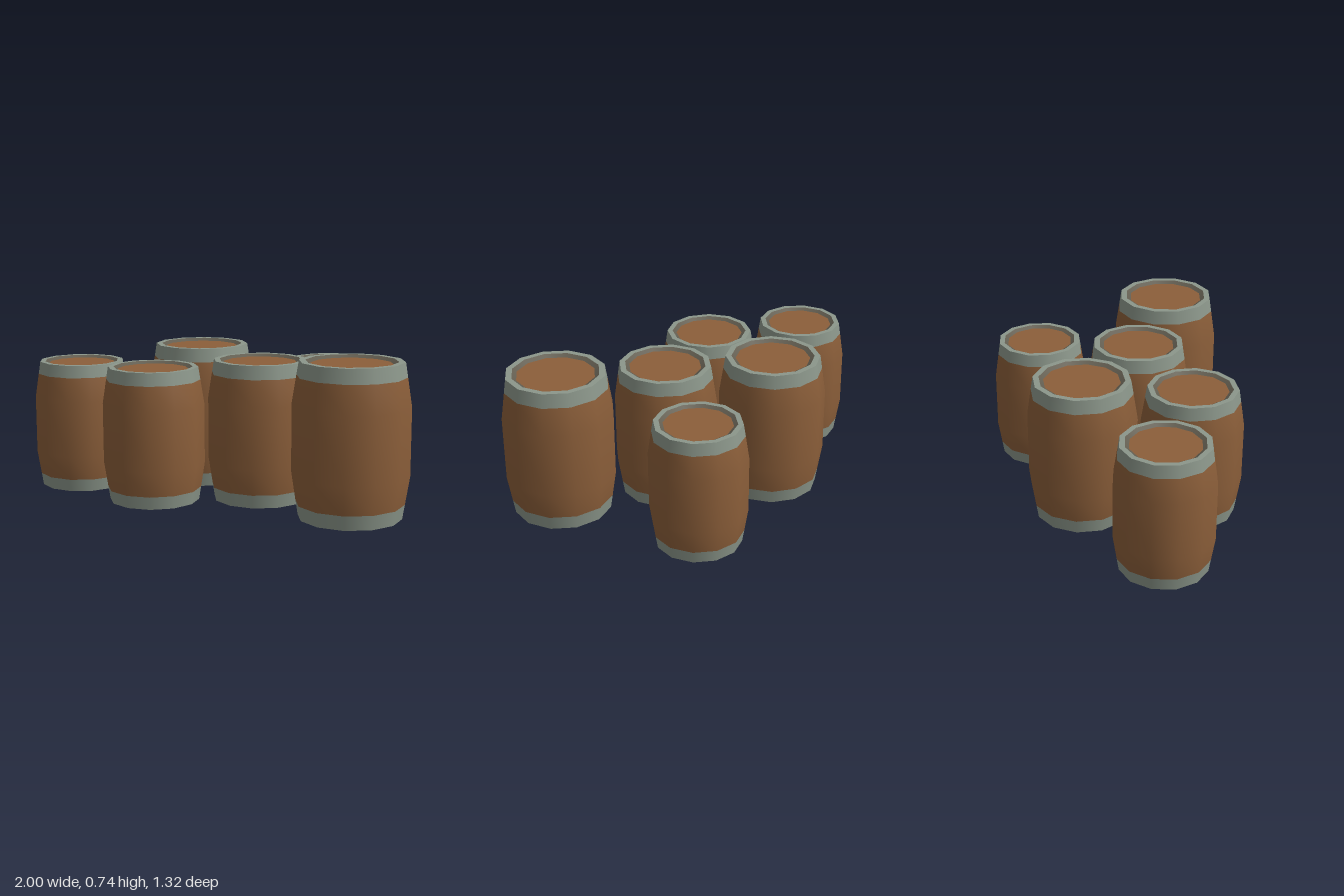
import * as THREE from 'three';

const SIDES = 12;
const material = (name, color) => {
  const m = new THREE.MeshStandardMaterial({ color });
  m.name = name;
  return m;
};

// Profiles of a barrel one unit tall, as [radius, height]
const BULGE = 0.377, END = 0.333, BAND = 0.348;
const PROFILES = {
  base: [[0, 0], [END, 0]],
  lowerBand: [[END, 0], [BAND, 0.095]],
  staves: [[BAND, 0.095], [BULGE, 0.28], [BULGE, 0.72], [BAND, 0.905]],
  upperBand: [[BAND, 0.905], [END, 1]],
  rim: [[END, 1], [0.292, 1]],
  innerRing: [[0.292, 1], [0.262, 0.982]],
  lid: [[0.262, 0.982], [0, 0.982]],
};

// Centre x, centre z, height, turn in degrees
const BARRELS = [
  [-0.76, 0.31, 0.64, -10],
  [-0.31, -0.125, 0.71, 0],
  [-0.245, 0.4, 0.66, 0],
  [0.18, 0.097, 0.69, -8],
  [0.29, -0.43, 0.635, -6.5],
  [0.725, 0.19, 0.737, -9],
];

export function createModel() {
  const wood = material('wood', 0x8c5f3a);
  const metal = material('metal', 0x8c978b);
  const innerMetal = material('worn inner metal', 0x625d50);
  const darkWood = material('dark underside', 0x4c443c);
  const paint = {
    base: darkWood, lowerBand: metal, staves: wood, upperBand: metal,
    rim: metal, innerRing: innerMetal, lid: wood,
  };

  // Each part is turned once and shared by all barrels
  const parts = Object.entries(PROFILES).map(([name, points]) => [
    name,
    new THREE.LatheGeometry(points.map(([r, y]) => new THREE.Vector2(r, y)), SIDES),
  ]);

  const model = new THREE.Group();
  model.name = 'barrels';
  BARRELS.forEach(([x, z, height, turn], i) => {
    const barrel = new THREE.Group();
    barrel.name = `barrel${i + 1}`;
    for (const [name, geometry] of parts) {
      const mesh = new THREE.Mesh(geometry, paint[name]);
      mesh.name = name;
      barrel.add(mesh);
    }
    barrel.position.set(x, 0, z);
    barrel.rotation.y = THREE.MathUtils.degToRad(turn);
    barrel.scale.setScalar(height);
    model.add(barrel);
  });
  return model;
}
